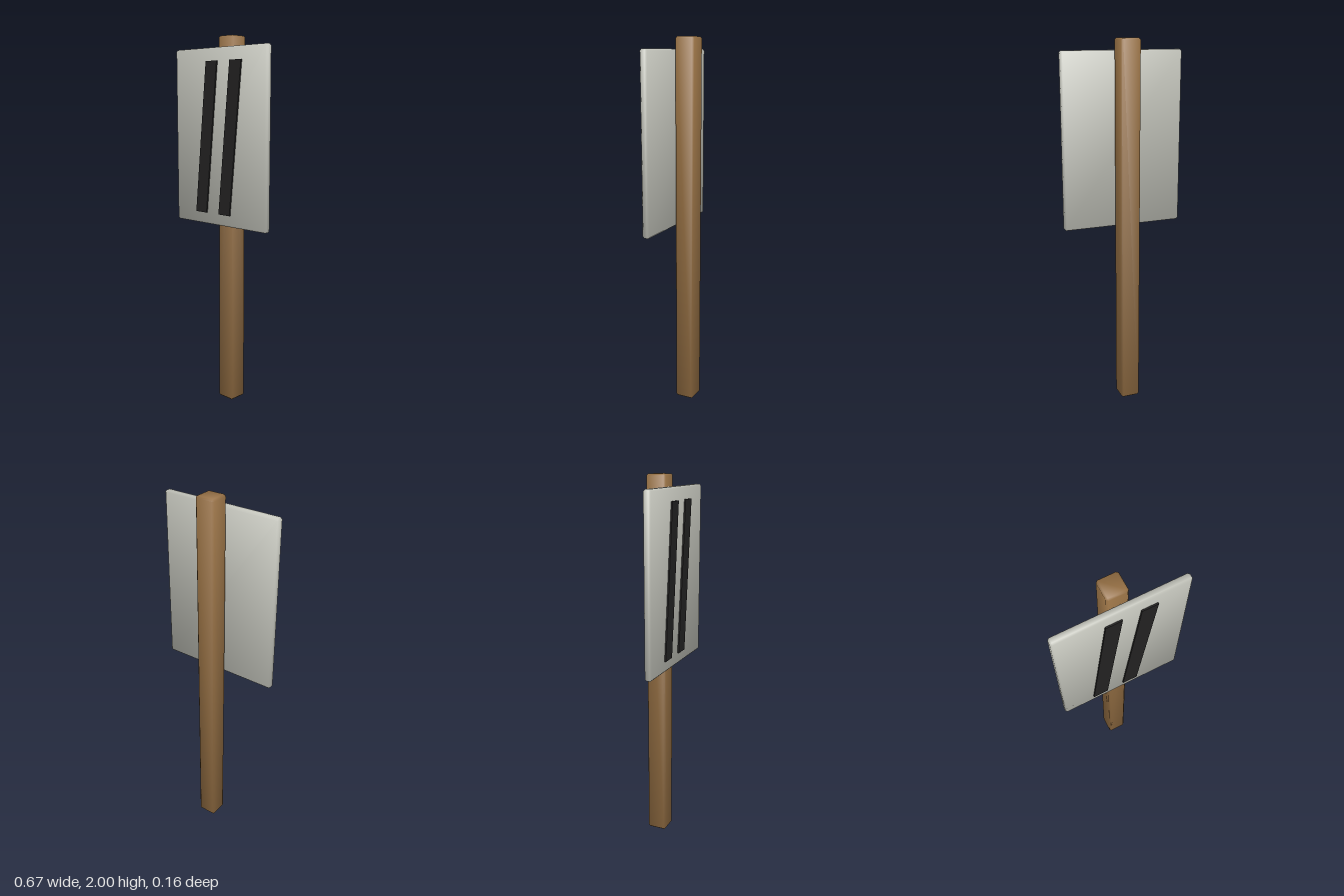
import * as THREE from 'three';
import { ConvexGeometry } from 'three/addons/geometries/ConvexGeometry.js';

const material = (name, color) => new THREE.MeshStandardMaterial({ name, color });

// Box with chamfered edges and softly blended normals
function chamferBox(w, h, d, c) {
  const half = [w / 2, h / 2, d / 2];
  const points = [];
  for (let axis = 0; axis < 3; axis++) {
    for (const sx of [-1, 1]) for (const sy of [-1, 1]) for (const sz of [-1, 1]) {
      const p = [sx, sy, sz].map((s, i) => s * (half[i] - (i === axis ? 0 : c)));
      points.push(new THREE.Vector3(...p));
    }
  }
  const geo = new ConvexGeometry(points);
  const pos = geo.attributes.position;
  const n = new THREE.Vector3();
  for (let i = 0; i < pos.count; i++) {
    const p = [pos.getX(i), pos.getY(i), pos.getZ(i)];
    // Lean each corner normal outward from the face it belongs to
    n.set(...p.map((v, k) => Math.sign(v) * (Math.abs(v) > half[k] - c / 2 ? 3 : 1.28))).normalize();
    geo.attributes.normal.setXYZ(i, n.x, n.y, n.z);
  }
  return geo;
}

export function createModel() {
  const group = new THREE.Group();
  group.name = 'signpost';
  const wood = material('brown wood', 0x967044);
  const paint = material('pale grey board', 0xc4c5bc);
  const black = material('black stripe', 0x232222);

  const add = (name, geo, mat, x, y, z) => {
    const mesh = new THREE.Mesh(geo, mat);
    mesh.name = name;
    mesh.position.set(x, y, z);
    group.add(mesh);
  };

  // Square post and the board standing just in front of it
  add('post', chamferBox(0.106, 2, 0.106, 0.009), wood, 0, 1, -0.03);
  add('board', chamferBox(0.666, 0.934, 0.039, 0.009), paint, 0, 1.472, 0.051);

  // Two slanted stripes
  const slant = new THREE.Shape([[-0.081, -0.402], [0, -0.402], [0.081, 0.402], [0, 0.402]]
    .map(([x, y]) => new THREE.Vector2(x, y)));
  const stripe = new THREE.ExtrudeGeometry(slant, { depth: 0.008, bevelEnabled: false });
  add('rightStripe', stripe, black, -0.087, 1.469, 0.0705);
  add('leftStripe', stripe, black, 0.086, 1.469, 0.0705);

  return group;
}
